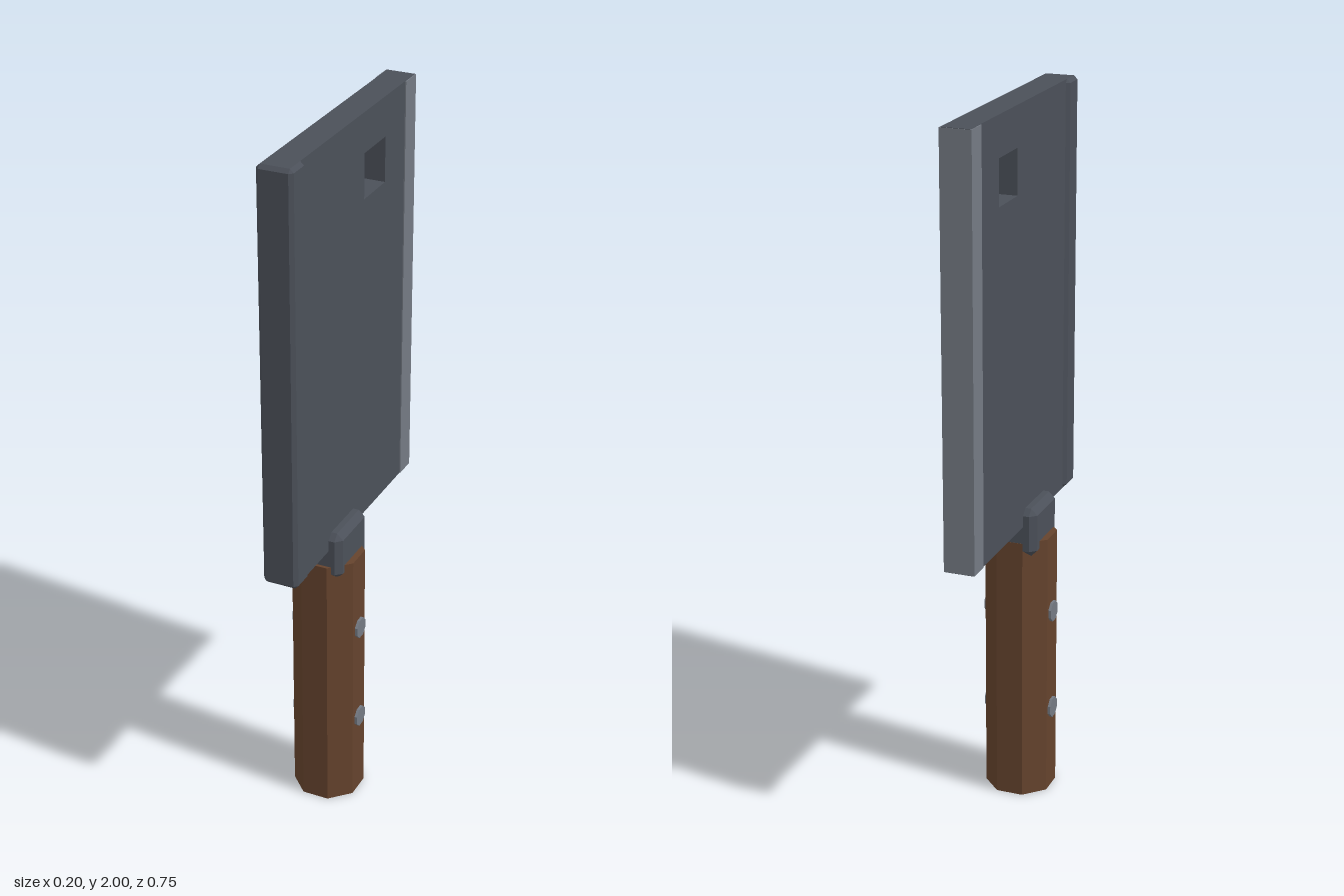
import * as THREE from 'three';
import { ConvexGeometry } from 'three/addons/geometries/ConvexGeometry.js';

function mat(name, color) {
  const m = new THREE.MeshStandardMaterial({ color });
  m.name = name;
  return m;
}

// Box with every edge cut by a flat chamfer b
function chamferBox(w, h, d, b) {
  const pts = [];
  for (const sx of [-1, 1]) for (const sy of [-1, 1]) for (const sz of [-1, 1]) {
    const x = w / 2, y = h / 2, z = d / 2;
    pts.push(new THREE.Vector3(sx * x, sy * (y - b), sz * (z - b)));
    pts.push(new THREE.Vector3(sx * (x - b), sy * y, sz * (z - b)));
    pts.push(new THREE.Vector3(sx * (x - b), sy * (y - b), sz * z));
  }
  return new ConvexGeometry(pts);
}

// Rectangle outline, in (-z, y) coordinates
function rect(target, x0, y0, x1, y1) {
  target.moveTo(x0, y0);
  target.lineTo(x1, y0);
  target.lineTo(x1, y1);
  target.lineTo(x0, y1);
  target.closePath();
  return target;
}

export function createModel() {
  const group = new THREE.Group();
  group.name = 'cleaver';
  const steel = mat('dark steel', 0x4b5059);
  const bright = mat('bright steel', 0x747a83);
  const wood = mat('brown wood', 0x65432d);

  function add(name, geometry, material, x, y, z) {
    const mesh = new THREE.Mesh(geometry, material);
    mesh.name = name;
    mesh.position.set(x, y, z);
    group.add(mesh);
    return mesh;
  }

  // Blade slab with a square hanging hole
  const outline = rect(new THREE.Shape(), -0.34, 0.83, 0.374, 2);
  outline.holes.push(rect(new THREE.Path(), 0.058, 1.765, 0.188, 1.89));
  const bladeGeo = new THREE.ExtrudeGeometry(outline, { depth: 0.08, bevelEnabled: false });
  bladeGeo.translate(0, 0, -0.04);
  bladeGeo.rotateY(Math.PI / 2);
  add('blade', bladeGeo, steel, 0, 0, 0);

  // Bright cutting edge and thick spine
  add('cuttingEdge', new THREE.BoxGeometry(0.086, 1.168, 0.064), bright, 0, 1.415, -0.343);
  add('spine', chamferBox(0.1, 1.17, 0.075, 0.01), steel, 0, 1.415, 0.3375);

  // Bolster joining blade and handle
  add('bolster', chamferBox(0.15, 0.14, 0.175, 0.018), steel, 0, 0.81, 0.073);

  // Eight-sided grip with flats facing the sides
  const grip = new THREE.CylinderGeometry(0.1, 0.1, 0.78, 8).toNonIndexed();
  grip.rotateY(Math.PI / 8);
  grip.computeVertexNormals();
  add('handle', grip, wood, 0, 0.39, 0.077);

  // Rivets through the grip
  for (const y of [0.25, 0.55]) {
    const rivet = new THREE.CylinderGeometry(0.03, 0.03, 0.2, 8).toNonIndexed();
    rivet.rotateY(Math.PI / 8);
    rivet.rotateZ(Math.PI / 2);
    rivet.computeVertexNormals();
    add('rivet', rivet, bright, 0, y, 0.076);
  }
  return group;
}
